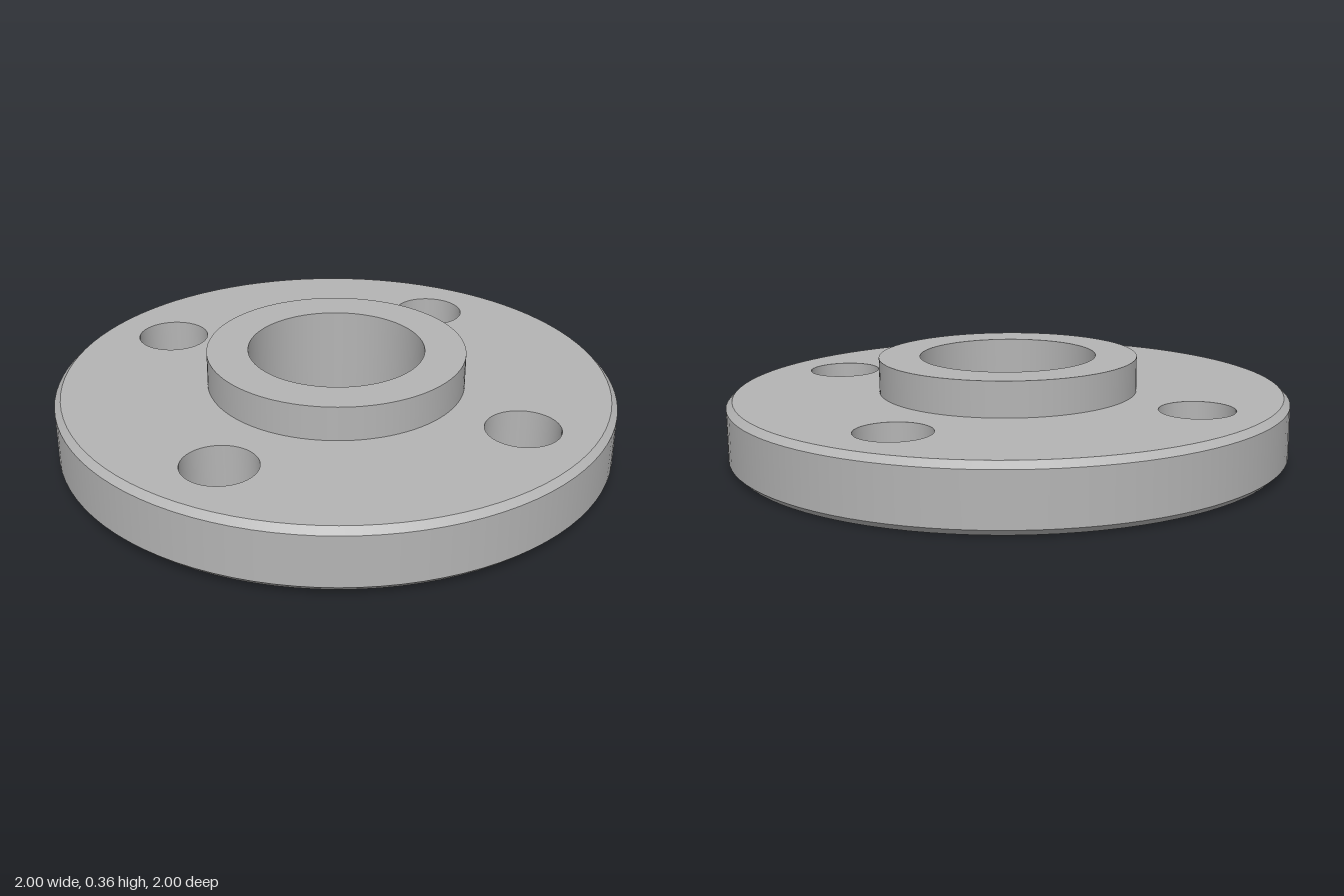
import * as THREE from 'three';
import { mergeGeometries } from 'three/addons/utils/BufferGeometryUtils.js';

const SEGMENTS = 96;
const THICKNESS = 0.227, HUB_TOP = 0.351, CHAMFER = 0.022;
const HUB_R = 0.462, BORE_R = 0.315, BORE_EDGE = 0.03;
const BOLT_R = 0.13, BOLT_CIRCLE = 0.729, BOLT_ANGLE = 0.178;

// Revolve a profile, one band per line so edges stay sharp and curves smooth.
// Profiles running upwards face outwards, downwards face inwards.
function revolve(points) {
  const bands = [];
  for (let i = 0; i < points.length - 1; i++) {
    const pair = [points[i], points[i + 1]].map(([r, y]) => new THREE.Vector2(r, y));
    bands.push(new THREE.LatheGeometry(pair, SEGMENTS));
  }
  return mergeGeometries(bands);
}

function boltCentres() {
  return [0, 1, 2, 3].map((i) => {
    const a = BOLT_ANGLE + i * Math.PI / 2;
    return [BOLT_CIRCLE * Math.cos(a), -BOLT_CIRCLE * Math.sin(a)];
  });
}

// Flat flange face with a central opening and four bolt holes
function flangeFace(innerR, y, up) {
  const shape = new THREE.Shape();
  shape.absarc(0, 0, 1 - CHAMFER, 0, Math.PI * 2, false);
  const side = up ? -1 : 1;
  const holes = [[0, 0, innerR], ...boltCentres().map(([x, z]) => [x, side * z, BOLT_R])];
  for (const [x, h, r] of holes) {
    const hole = new THREE.Path();
    hole.absarc(x, h, r, 0, Math.PI * 2, true);
    shape.holes.push(hole);
  }
  const geometry = new THREE.ShapeGeometry(shape, SEGMENTS / 2);
  geometry.rotateX(side * Math.PI / 2);
  geometry.translate(0, y, 0);
  return geometry;
}

export function createModel() {
  const model = new THREE.Group();
  model.name = 'pipeFlange';
  const steel = new THREE.MeshStandardMaterial({ color: 0xb4b4b4 });
  steel.name = 'steel grey';

  const flange = new THREE.Group();
  flange.name = 'flange';
  const add = (name, geometry) => {
    const mesh = new THREE.Mesh(geometry, steel);
    mesh.name = name;
    flange.add(mesh);
    return mesh;
  };

  // Disc: chamfered rim and two drilled faces
  add('rim', revolve([
    [1 - CHAMFER, 0], [1, CHAMFER], [1, THICKNESS - CHAMFER], [1 - CHAMFER, THICKNESS],
  ]));
  add('topFace', flangeFace(HUB_R, THICKNESS, true));
  add('bottomFace', flangeFace(BORE_R + BORE_EDGE, 0, false));

  // Raised hub and the bore, which flares at the bottom
  add('hub', revolve([[HUB_R, THICKNESS], [HUB_R, HUB_TOP], [BORE_R, HUB_TOP]]));
  add('bore', revolve([[BORE_R, HUB_TOP], [BORE_R, BORE_EDGE], [BORE_R + BORE_EDGE, 0]]));

  // Bolt hole walls
  const boltWall = revolve([[BOLT_R, THICKNESS], [BOLT_R, 0]]);
  for (const [x, z] of boltCentres()) add('boltHole', boltWall).position.set(x, 0, z);

  // The part sits with a very slight lean towards +x
  flange.rotation.z = -0.0095;
  flange.position.y = 0.0095;
  model.add(flange);
  return model;
}
